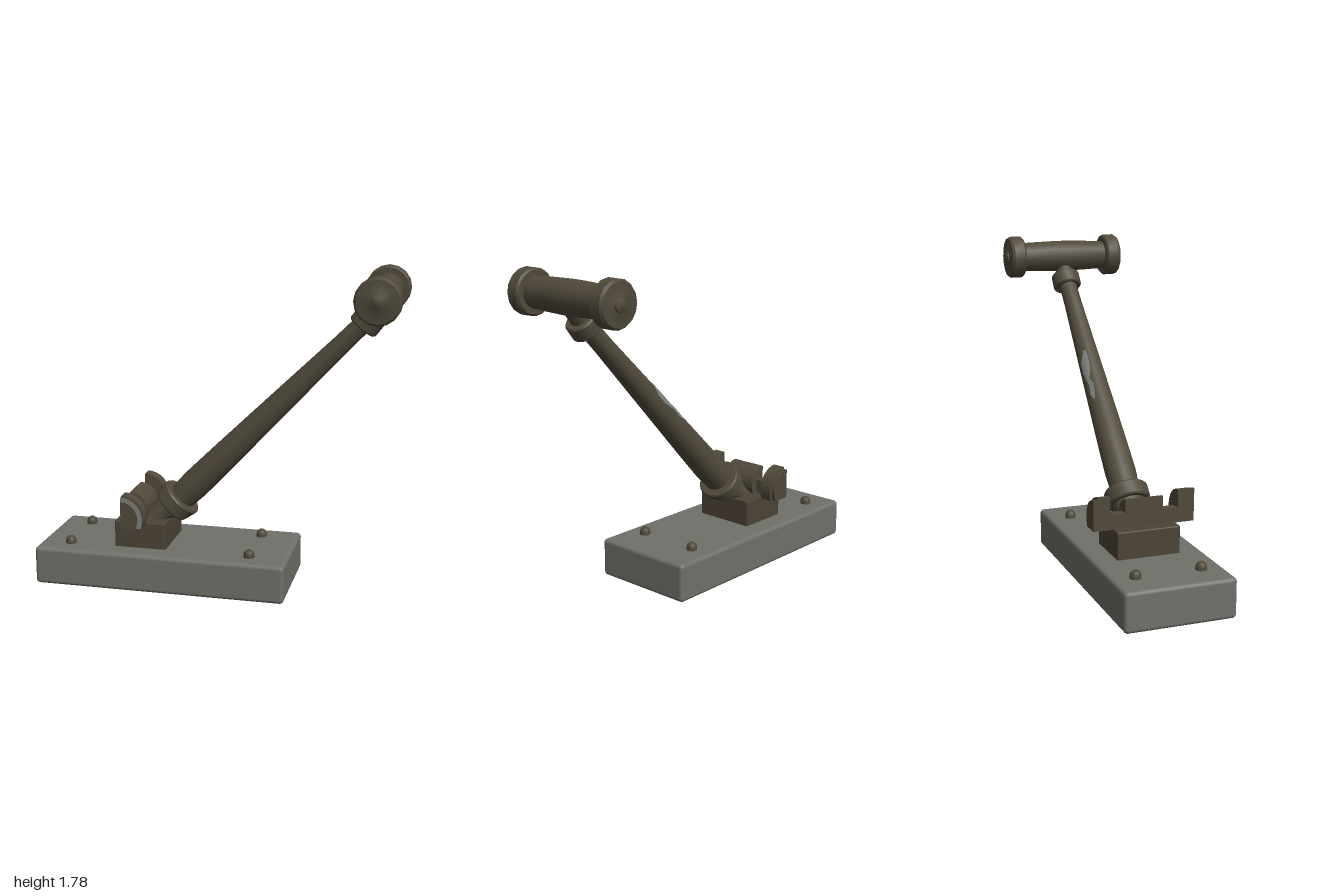
import * as THREE from 'three';
import { toCreasedNormals } from 'three/addons/utils/BufferGeometryUtils.js';
import { RoundedBoxGeometry } from 'three/addons/geometries/RoundedBoxGeometry.js';

const V2 = (p) => new THREE.Vector2(p[0], p[1]);

export function createModel() {
  const model = new THREE.Group();
  model.name = 'leaningHammer';

  const mat = (name, color) => {
    const m = new THREE.MeshStandardMaterial({ color });
    m.name = name;
    return m;
  };
  const stone = mat('stone grey', 0x6f7169);
  const bronze = mat('aged bronze', 0x50493b);
  const plinthBrown = mat('dark plinth brown', 0x4c4336);
  const worn = mat('worn silver', 0x7b7f7a);
  worn.side = THREE.DoubleSide;

  const add = (name, geo, material, parent = model) => {
    const mesh = new THREE.Mesh(geo, material);
    mesh.name = name;
    parent.add(mesh);
    return mesh;
  };
  // Turned part with crisp edges, profile given as [radius, height]
  const turned = (profile, sides = 20) =>
    toCreasedNormals(new THREE.LatheGeometry(profile.map(V2), sides), 0.6);

  // Base slab and plinth
  add('base', new RoundedBoxGeometry(1.42, 0.215, 0.6, 3, 0.022), stone).position.set(-0.29, 0.1075, 0);
  add('plinth', new RoundedBoxGeometry(0.295, 0.17, 0.35, 2, 0.008), plinthBrown).position.set(-0.4175, 0.28, 0);

  // Domed bolts at the base corners
  const boltGeo = turned([[0.03, 0], [0.03, 0.02], [0.026, 0.035], [0.015, 0.045], [0, 0.048]], 14);
  for (const x of [-0.825, 0.207]) {
    for (const z of [-0.178, 0.178]) add('bolt', boltGeo, bronze).position.set(x, 0.21, z);
  }

  // Leaning handle: local y runs along the shaft, starting at the lower collar
  const tilt = -0.771;
  const origin = new THREE.Vector3(-0.243, 0.452, 0);
  const handle = new THREE.Group();
  handle.name = 'handle';
  handle.position.copy(origin);
  handle.rotation.z = tilt;
  model.add(handle);

  const shaftProfile = [[0.077, 0.02], [0.085, 0.15], [0.08, 0.38], [0.066, 0.85], [0.052, 1.3], [0.05, 1.48]];
  const shaftRadius = (y) => {
    const i = Math.max(1, shaftProfile.findIndex((p) => p[1] >= y));
    const [a, b] = [shaftProfile[i - 1], shaftProfile[i]];
    return a[0] + ((b[0] - a[0]) * (y - a[1])) / (b[1] - a[1]);
  };
  add('shaft', turned(shaftProfile, 18), bronze, handle);

  // Lower collar and stub are cut flat where they meet the top of the plinth
  const place = new THREE.Matrix4().makeRotationZ(tilt).setPosition(origin);
  const cutFlat = (profile) => {
    const geo = new THREE.LatheGeometry(profile.map(V2), 28).applyMatrix4(place);
    const pos = geo.attributes.position;
    for (let i = 0; i < pos.count; i++) pos.setY(i, Math.max(0.362, pos.getY(i)));
    return toCreasedNormals(geo, 0.6);
  };
  add('lowerCollar', cutFlat([[0, -0.043], [0.114, -0.043], [0.121, -0.034], [0.121, 0.034], [0.114, 0.043], [0, 0.043]]), bronze);
  add('handleStub', cutFlat([[0, -0.2], [0.09, -0.2], [0.09, -0.12], [0.09, -0.03]]), bronze);

  // Worn patch on the upper back of the shaft: rows of [height, start angle, end angle]
  const rows = [[0.6, 0.75, 0.85], [0.64, 0.6, 1.05], [0.7, 0.55, 0.95], [0.74, 0.75, 1.1],
    [0.79, 0.5, 1.25], [0.86, 0.4, 1.2], [0.9, 0.4, 0.85], [0.93, 0.5, 0.65]];
  const verts = [], index = [], steps = 4;
  rows.forEach(([y, a0, a1], j) => {
    for (let k = 0; k <= steps; k++) {
      const a = a0 + ((a1 - a0) * k) / steps, r = shaftRadius(y) + 0.0025;
      verts.push(-r * Math.cos(a), y, -r * Math.sin(a));
      if (j && k) {
        const d = j * (steps + 1) + k, c = d - 1, b = d - steps - 1, e = b - 1;
        index.push(e, c, b, b, c, d);
      }
    }
  });
  const patch = new THREE.BufferGeometry();
  patch.setAttribute('position', new THREE.Float32BufferAttribute(verts, 3));
  patch.setIndex(index);
  patch.computeVertexNormals();
  add('wornPatch', patch, worn, handle);

  // Upper collar and neck
  const collar = add('upperCollar', turned([[0, -0.043], [0.076, -0.043], [0.083, -0.035],
    [0.083, 0.035], [0.076, 0.043], [0.05, 0.043], [0.05, 0.12]]), bronze);
  collar.position.set(0.797, 1.513, 0);
  collar.rotation.z = -0.65;

  // Hammer head: barrel across z, with a cap and boss at each end
  const head = new THREE.Group();
  head.name = 'hammerHead';
  head.position.set(0.8775, 1.658, 0);
  model.add(head);
  add('barrel', turned([[0.082, -0.27], [0.089, -0.1], [0.091, 0], [0.089, 0.1], [0.082, 0.27]], 18), bronze, head).rotation.x = Math.PI / 2;
  const capGeo = turned([[0, 0.253], [0.113, 0.253], [0.1225, 0.264], [0.1225, 0.325], [0.112, 0.34],
    [0.037, 0.342], [0.035, 0.35], [0.024, 0.357], [0, 0.358]], 16);
  for (const s of [1, -1]) add('headCap', capGeo, bronze, head).rotation.x = (s * Math.PI) / 2;

  // Sunken second head behind the handle: sliced discs joined by a bar
  const cx = -0.495, cy = 0.414, floor = 0.36;
  const slice = (r, depth) => {
    const s = new THREE.Shape();
    s.moveTo(cx, floor);
    s.absarc(cx, cy, r, -Math.asin(Math.min(1, (cy - floor) / r)), Math.PI / 2, false);
    s.lineTo(cx, floor);
    return toCreasedNormals(new THREE.ExtrudeGeometry(s, { depth, bevelEnabled: false, curveSegments: 12 }), 0.5);
  };
  for (const s of [1, -1]) {
    add('slicedDisc', slice(0.126, 0.07), bronze).position.z = s > 0 ? 0.19 : -0.26;
    add('slicedDiscFace', slice(0.113, 0.022), bronze).position.z = s > 0 ? 0.26 : -0.282;
  }
  add('slicedMiddle', slice(0.1, 0.21), bronze).position.z = -0.105;
  add('crossBar', new THREE.BoxGeometry(0.055, 0.08, 0.4), bronze).position.set(cx + 0.0275, 0.4, 0);

  // Worn rim on the front disc
  const rim = new THREE.Shape();
  rim.absarc(cx, cy, 0.124, -0.42, Math.PI / 2, false);
  rim.absarc(cx, cy, 0.098, Math.PI / 2, -0.5, true);
  add('wornRim', new THREE.ExtrudeGeometry(rim, { depth: 0.003, bevelEnabled: false, curveSegments: 12 }), worn).position.z = 0.281;

  return model;
}
